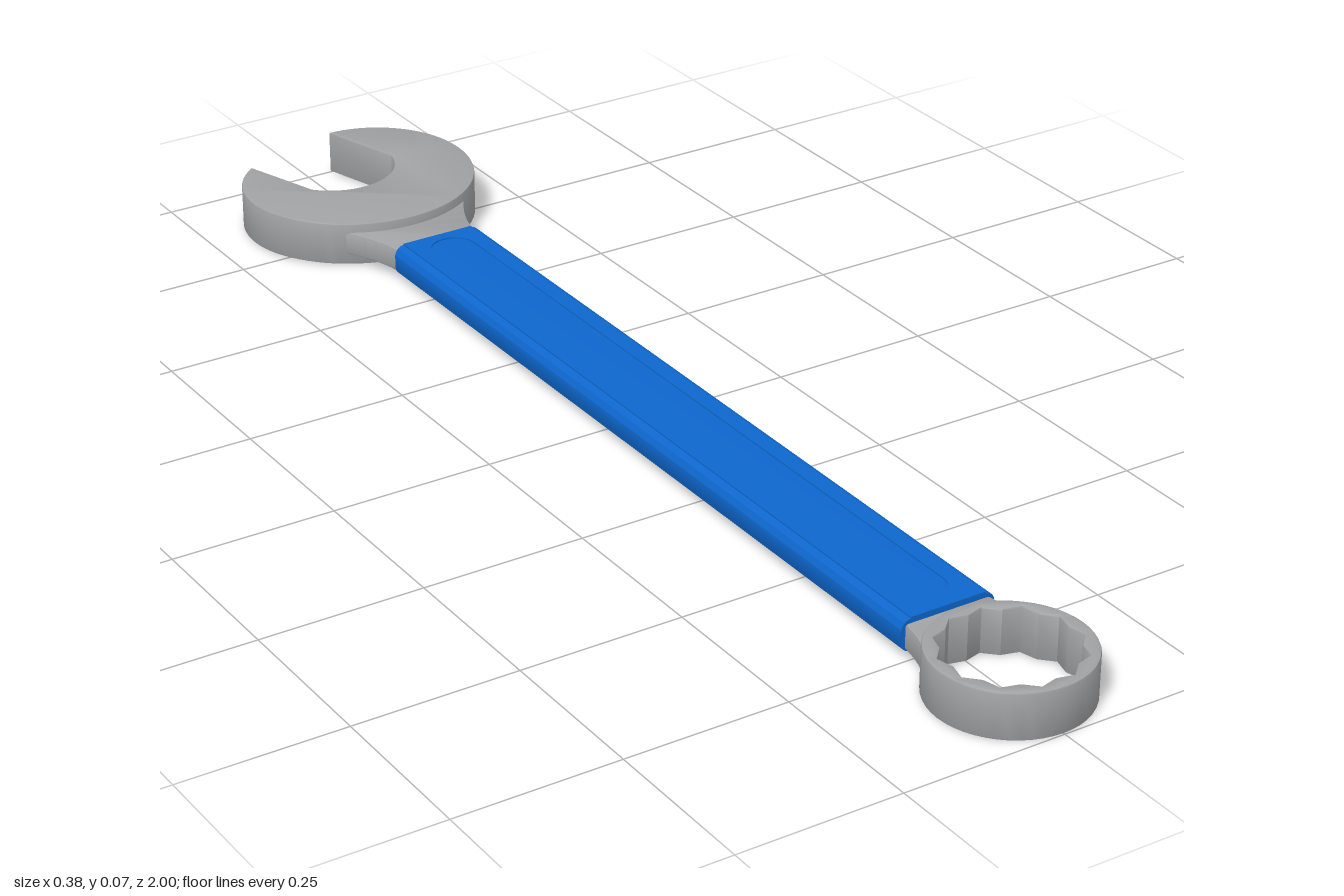
import * as THREE from 'three';
import { toCreasedNormals } from 'three/addons/utils/BufferGeometryUtils.js';

const rad = THREE.MathUtils.degToRad;
const polar = (cx, cy, r, a) => new THREE.Vector2(cx + r * Math.cos(a), cy + r * Math.sin(a));

// Plan outline (x, -z) raised from y0 to y1 with a small edge bevel
function slab(name, shape, y0, y1, bevel, material) {
  let geo = new THREE.ExtrudeGeometry(shape, {
    depth: y1 - y0 - 2 * bevel, curveSegments: 24, bevelEnabled: bevel > 0,
    bevelSize: bevel, bevelThickness: bevel, bevelOffset: -bevel, bevelSegments: 2,
  });
  geo.rotateX(-Math.PI / 2).translate(0, y0 + bevel, 0);
  geo = toCreasedNormals(geo, 0.45);
  const mesh = new THREE.Mesh(geo, material);
  mesh.name = name;
  return mesh;
}

// Open jaw: round head, slightly flattened towards the tips, with a tilted mouth
function jawShape() {
  const pts = [];
  for (let i = 0; i <= 72; i++) {
    const a = 140.5 + (294.5 * i) / 72;
    const t = Math.max(0, 1 - Math.min(a - 140.5, 435 - a) / 65);
    pts.push(polar(-0.003, 0.838, 0.192 - 0.026 * t * t, rad(a)));
  }
  for (let i = 0; i <= 20; i++) pts.push(polar(-0.015, 0.882, 0.097, rad(-10 - 129.5 * i / 20)));
  return new THREE.Shape(pts);
}

// Ring end with a twelve-point bore
function ringShape(cy) {
  const s = new THREE.Shape().absarc(0, cy, 0.115, 0, Math.PI * 2);
  const bore = [];
  for (let i = 0; i < 24; i++) bore.push(polar(0, cy, i % 2 ? 0.091 : 0.101, rad(15 + 15 * i)));
  s.holes.push(new THREE.Path(bore));
  return s;
}

// Flared neck running from the grip into the jaw
function jawNeckShape() {
  const s = new THREE.Shape();
  s.moveTo(-0.07, 0.54);
  s.lineTo(0.07, 0.54);
  s.lineTo(0.072, 0.59);
  s.quadraticCurveTo(0.08, 0.645, 0.13, 0.71);
  s.lineTo(-0.13, 0.71);
  s.quadraticCurveTo(-0.08, 0.645, -0.072, 0.59);
  return s;
}

// Short neck ending inside the ring wall
function ringNeckShape(cy) {
  const s = new THREE.Shape();
  s.moveTo(0.066, -0.72);
  s.lineTo(-0.066, -0.72);
  s.quadraticCurveTo(-0.067, -0.77, -0.085, -0.81);
  for (let i = 0; i <= 16; i++) {
    const p = polar(0, cy, 0.108, rad(140 - 100 * i / 16));
    s.lineTo(p.x, p.y);
  }
  s.lineTo(0.085, -0.81);
  s.quadraticCurveTo(0.067, -0.77, 0.066, -0.72);
  return s;
}

// Rounded grip section swept along z
function gripBody(w, y0, y1, z0, z1, r, material) {
  const s = new THREE.Shape();
  s.absarc(w - r, y0 + r, r, -Math.PI / 2, 0);
  s.absarc(w - r, y1 - r, r, 0, Math.PI / 2);
  s.absarc(-w + r, y1 - r, r, Math.PI / 2, Math.PI);
  s.absarc(-w + r, y0 + r, r, Math.PI, Math.PI * 1.5);
  let geo = new THREE.ExtrudeGeometry(s, { depth: z1 - z0, bevelEnabled: false, curveSegments: 8 });
  geo.translate(0, 0, z0);
  geo = toCreasedNormals(geo, 0.6);
  const mesh = new THREE.Mesh(geo, material);
  mesh.name = 'gripBody';
  return mesh;
}

// Thin face plate with a long round-ended slot
function gripFaceShape() {
  const s = new THREE.Shape();
  s.moveTo(-0.06, -0.75);
  s.lineTo(0.06, -0.75);
  s.lineTo(0.06, 0.578);
  s.lineTo(-0.06, 0.578);
  const slot = new THREE.Path();
  slot.absarc(0, 0.525, 0.035, 0, Math.PI);
  slot.absarc(0, -0.69, 0.035, Math.PI, Math.PI * 2);
  s.holes.push(slot);
  return s;
}

export function createModel() {
  const steel = new THREE.MeshStandardMaterial({ color: 0xa0a1a3 });
  steel.name = 'steel grey';
  const blue = new THREE.MeshStandardMaterial({ color: 0x0d66cc });
  blue.name = 'grip blue';

  const ringY = -0.884;
  const wrench = new THREE.Group();
  wrench.name = 'combinationWrench';
  wrench.add(
    slab('openJaw', jawShape(), 0.002, 0.071, 0.002, steel),
    slab('ringEnd', ringShape(ringY), 0, 0.071, 0.003, steel),
    slab('jawNeck', jawNeckShape(), 0.018, 0.056, 0.005, steel),
    slab('ringNeck', ringNeckShape(ringY), 0.018, 0.056, 0.004, steel),
    gripBody(0.075, 0.014, 0.063, -0.578, 0.75, 0.016, blue),
    slab('gripTopFace', gripFaceShape(), 0.0625, 0.065, 0, blue),
    slab('gripBottomFace', gripFaceShape(), 0.012, 0.0145, 0, blue),
  );
  return wrench;
}
